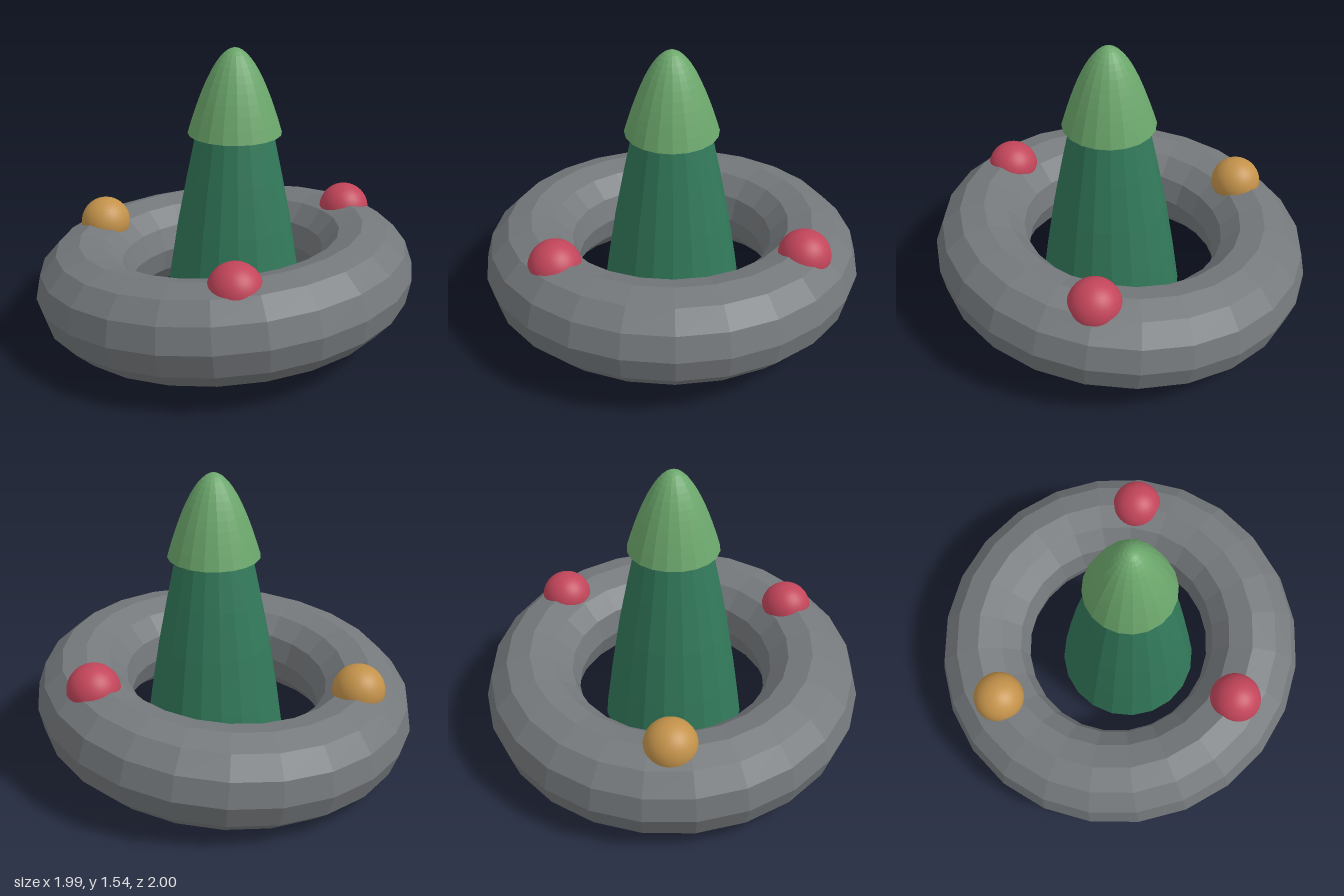
import * as THREE from 'three';

const paint = (color, flatShading = false) =>
  new THREE.MeshStandardMaterial({ color, flatShading });

function addPart(parent, name, geometry, material, x = 0, y = 0, z = 0) {
  const mesh = new THREE.Mesh(geometry, material);
  mesh.name = name;
  mesh.position.set(x, y, z);
  parent.add(mesh);
  return mesh;
}

// Turned shape from [radius, height] pairs, listed bottom to top
const turned = (points, sides) =>
  new THREE.LatheGeometry(points.map(([r, y]) => new THREE.Vector2(r, y)), sides);

export function createModel() {
  const model = new THREE.Group();
  const sides = 20;

  // Faceted ring, tipped up towards +x
  const ringGeometry = new THREE.TorusGeometry(0.75, 0.25, 12, 24);
  ringGeometry.rotateX(Math.PI / 2);
  const ring = addPart(model, 'ring', ringGeometry, paint(0x75797c, true), 0, 0.315, 0);
  ring.rotation.z = THREE.MathUtils.degToRad(5);

  // Tree standing inside the ring, slightly off centre
  const tree = new THREE.Group();
  tree.name = 'tree';
  tree.position.x = 0.065;
  model.add(tree);

  // Tapering trunk with a closed base
  const trunk = [[0, 0.07], [0.377, 0.07], [0.34, 0.34], [0.294, 0.63], [0.245, 0.88], [0.195, 1.12], [0, 1.12]];
  addPart(tree, 'trunk', turned(trunk, sides), paint(0x32795a, true));

  // Rounded cap with a flat underside
  const cap = [[0, 1.105]];
  const steps = 12;
  for (let i = 0; i <= steps; i++) {
    const r = 1 - i / steps;
    cap.push([0.24 * r, 1.54 - 0.435 * Math.pow(r, 1.9)]);
  }
  addPart(tree, 'cap', turned(cap, sides), paint(0x6ca76c, true));

  // Berries set into the top of the ring
  const berry = new THREE.SphereGeometry(0.135, 32, 20);
  const red = paint(0xc2455a);
  addPart(model, 'frontBerry', berry, red, 0.44, 0.555, 0.585);
  addPart(model, 'backBerry', berry, red, 0.375, 0.555, -0.66);
  addPart(model, 'goldenBerry', berry, paint(0xc3924a), -0.725, 0.485, 0.1);

  return model;
}
